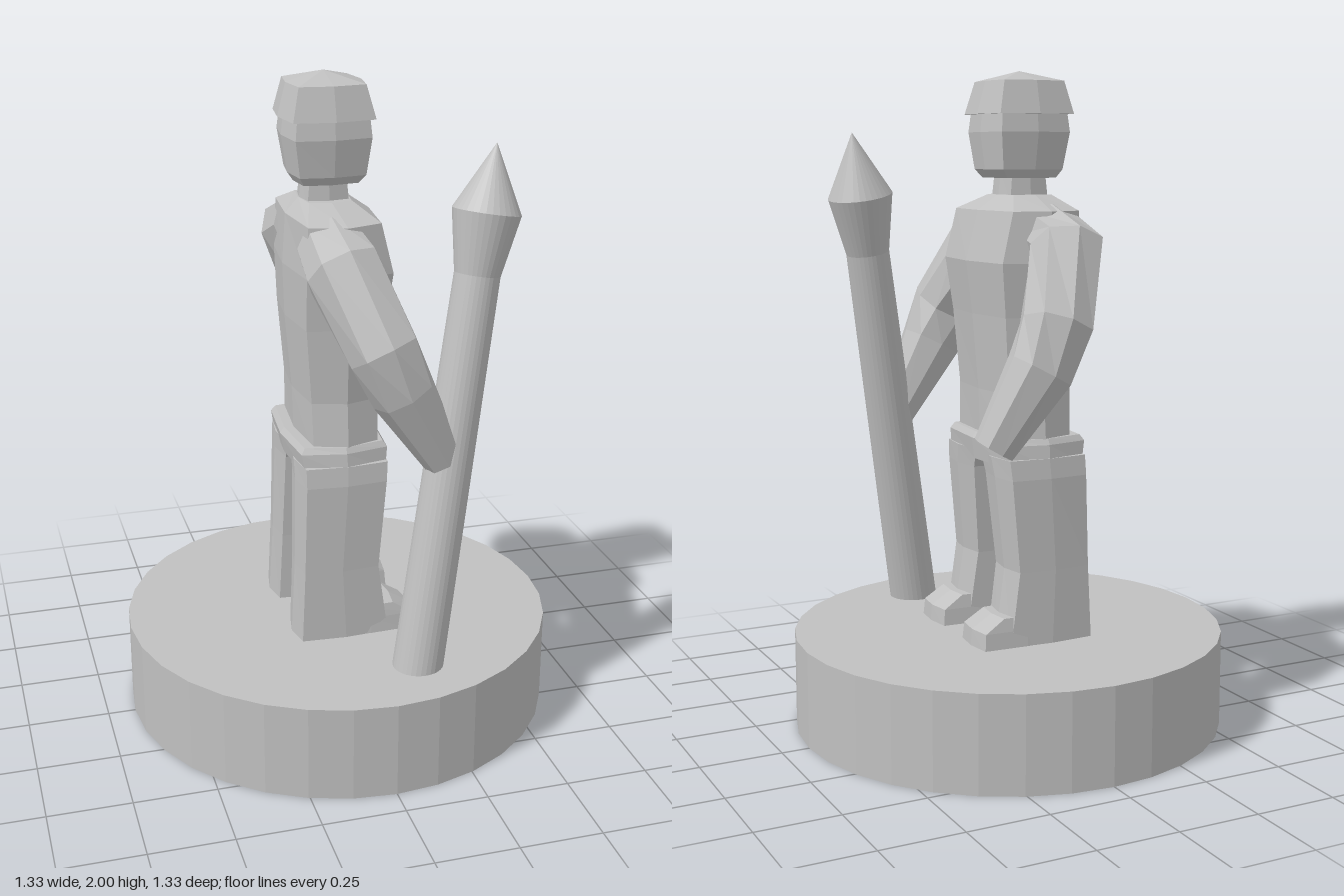
import * as THREE from 'three';

const stone = new THREE.MeshStandardMaterial({ color: 0xc0c0c0, flatShading: true });
stone.name = 'stone grey';

const OCT = k => [[1, 0], [k, k], [0, 1], [-k, k], [-1, 0], [-k, -k], [0, -1], [k, -k]];

// Horizontal eight-sided ring spanning x0..x1 and z0..z1
function ring([y, x0, x1, z0, z1], k) {
  return OCT(k).map(([a, b]) => new THREE.Vector3(
    (x0 + x1) / 2 + a * (x1 - x0) / 2, y, (z0 + z1) / 2 + b * (z1 - z0) / 2));
}

// Skin a list of rings and close both ends
function loft(rings) {
  const pos = [];
  const tri = (...p) => p.forEach(v => pos.push(v.x, v.y, v.z));
  const n = rings[0].length;
  for (let r = 0; r < rings.length - 1; r++) {
    for (let i = 0; i < n; i++) {
      const j = (i + 1) % n;
      const a = rings[r][i], b = rings[r][j], c = rings[r + 1][j], d = rings[r + 1][i];
      tri(a, d, c);
      tri(a, c, b);
    }
  }
  const first = rings[0], last = rings[rings.length - 1];
  for (let i = 1; i < n - 1; i++) {
    tri(first[0], first[i], first[i + 1]);
    tri(last[0], last[i + 1], last[i]);
  }
  const g = new THREE.BufferGeometry();
  g.setAttribute('position', new THREE.Float32BufferAttribute(pos, 3));
  g.computeVertexNormals();
  return g;
}

const stack = (rows, k) => loft(rows.map(r => ring(r, k)));

// Eight-sided limb along points [x, y, z, radius]
function limb(points) {
  const p = points.map(q => new THREE.Vector3(q[0], q[1], q[2]));
  return loft(points.map((q, i) => {
    const t = p[Math.min(i + 1, p.length - 1)].clone().sub(p[Math.max(i - 1, 0)]).normalize();
    const u = new THREE.Vector3(1, 0, 0).addScaledVector(t, -t.x).normalize();
    const v = u.clone().cross(t);
    return OCT(0.75).map(([a, b]) =>
      p[i].clone().addScaledVector(u, a * q[3]).addScaledVector(v, b * q[3]));
  }));
}

export function createModel() {
  const model = new THREE.Group();
  const add = (name, geometry) => {
    const m = new THREE.Mesh(geometry, stone);
    m.name = name;
    model.add(m);
    return m;
  };

  // Round plinth
  add('base', new THREE.CylinderGeometry(0.665, 0.665, 0.295, 32)).position.y = 0.1475;

  // Torso, from waist to collar
  add('torso', stack([
    [0.88, -0.135, 0.095, -0.215, 0.215],
    [1.05, -0.14, 0.1, -0.2, 0.2],
    [1.28, -0.16, 0.12, -0.215, 0.215],
    [1.44, -0.165, 0.14, -0.235, 0.235],
    [1.59, -0.155, 0.1, -0.23, 0.23],
    [1.635, -0.115, 0.035, -0.1, 0.1]], 0.85));

  // Hips
  add('hips', stack([
    [0.835, -0.165, 0.115, -0.23, 0.23],
    [0.9, -0.178, 0.123, -0.222, 0.222],
    [0.918, -0.165, 0.11, -0.212, 0.212]], 0.88));

  // Legs with forward-pointing feet, and arms
  for (const [side, s] of [['right', 1], ['left', -1]]) {
    const legRow = (y, x0, x1, inner, outer) =>
      [y, x0, x1, Math.min(s * inner, s * outer), Math.max(s * inner, s * outer)];
    add(side + 'Leg', stack([
      legRow(0.285, -0.185, 0.12, 0.06, 0.238),
      legRow(0.52, -0.172, 0.085, 0.053, 0.235),
      legRow(0.8, -0.165, 0.11, 0.03, 0.235),
      legRow(0.86, -0.165, 0.115, 0.005, 0.228)], 0.9));
    add(side + 'Foot', stack([
      legRow(0.285, -0.1, 0.2, 0.06, 0.235),
      legRow(0.345, -0.1, 0.195, 0.065, 0.23),
      legRow(0.385, -0.1, 0.13, 0.07, 0.225)], 0.93));
    const reach = s > 0 ? 0.025 : 0;
    add(side + 'Arm', limb([
      [-0.06, 1.52, s * 0.14, 0.095],
      [-0.055, 1.48, s * 0.265, 0.11],
      [0.03, 1.27, s * (0.365 + reach), 0.105],
      [0.085, 1.15, s * (0.37 + reach), 0.095],
      [0.215, 0.925, s * (0.335 + 2 * reach), 0.06]]));
  }

  // Neck, head and cap
  add('neck', stack([
    [1.61, -0.115, 0.035, -0.075, 0.075],
    [1.7, -0.105, 0.025, -0.07, 0.07]], 0.85));
  add('head', stack([
    [1.685, -0.13, 0.055, -0.095, 0.095],
    [1.71, -0.147, 0.077, -0.112, 0.112],
    [1.82, -0.165, 0.092, -0.13, 0.13],
    [1.885, -0.157, 0.085, -0.122, 0.122]], 0.88));
  add('cap', stack([
    [1.873, -0.175, 0.102, -0.14, 0.14],
    [1.97, -0.15, 0.075, -0.115, 0.115],
    [2.0, -0.039, -0.037, -0.001, 0.001]], 0.88));

  // Leaning shaft with a flared, pointed head
  const foot = new THREE.Vector3(0.125, 0.27, 0.452);
  const axis = new THREE.Vector3(0.395, 1.82, 0.27).sub(foot);
  const len = axis.length();
  const profile = [[0, 0], [0.076, 0], [0.067, len - 0.375], [0.1, len - 0.195], [0, len]];
  const lance = add('lance', new THREE.LatheGeometry(
    profile.map(([r, y]) => new THREE.Vector2(r, y)), 32));
  lance.position.copy(foot);
  lance.quaternion.setFromUnitVectors(new THREE.Vector3(0, 1, 0), axis.normalize());

  return model;
}
